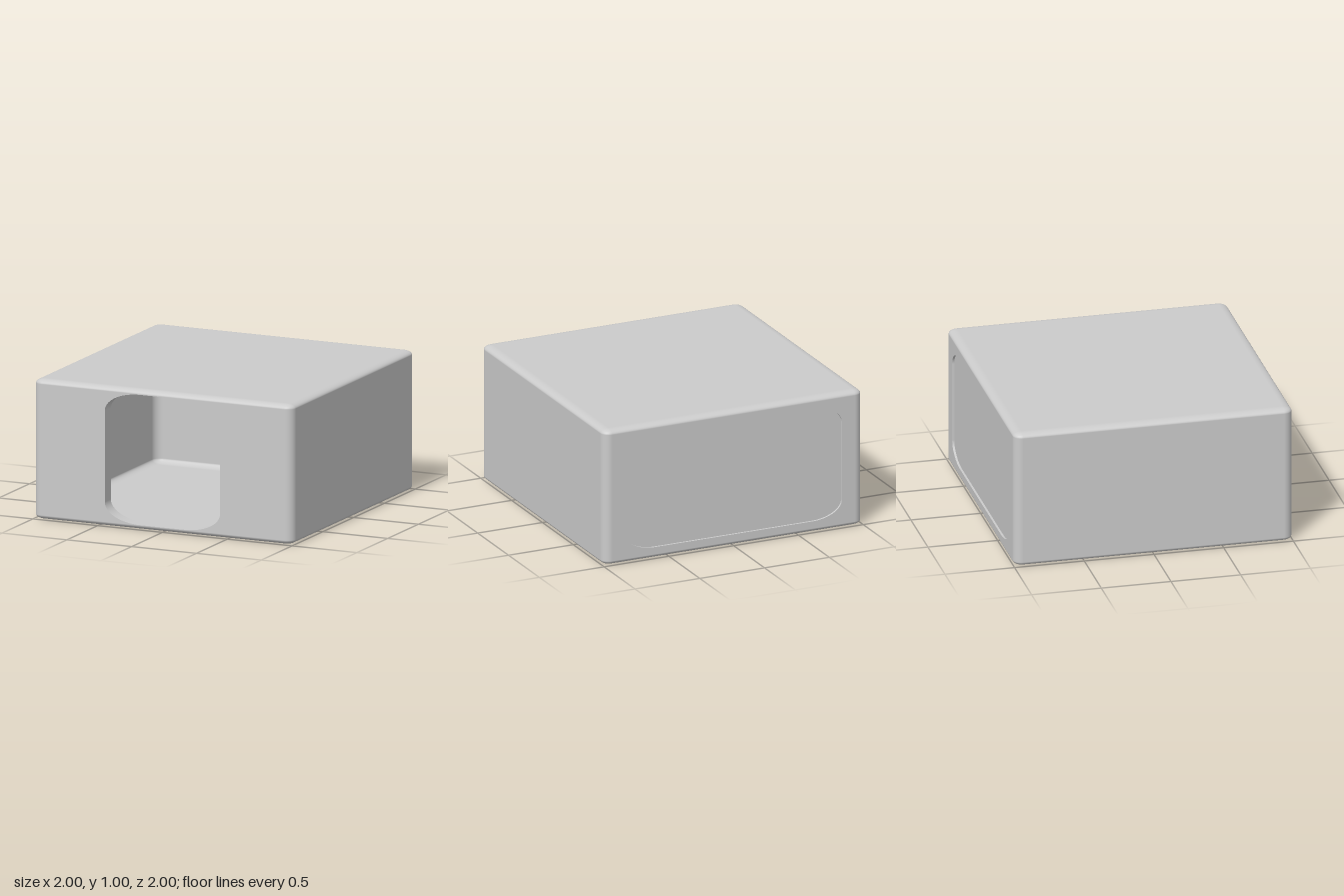
import * as THREE from 'three';
import { RoundedBoxGeometry } from 'three/addons/geometries/RoundedBoxGeometry.js';

const R = 0.065; // edge radius in plan; half of it in height

const material = new THREE.MeshStandardMaterial({ color: 0xcccccc, side: THREE.DoubleSide });

function add(parent, name, geometry) {
  const mesh = new THREE.Mesh(geometry, material);
  mesh.name = name;
  parent.add(mesh);
  return mesh;
}

// Rectangle with elliptical corners, centred at half height
function openingShape(halfW, halfH, rx, ry) {
  const s = new THREE.Shape();
  const corners = [[1, 1], [-1, 1], [-1, -1], [1, -1]];
  corners.forEach(([sx, sy], i) => {
    s.absellipse(sx * (halfW - rx), 0.5 + sy * (halfH - ry), rx, ry,
      i * Math.PI / 2, (i + 1) * Math.PI / 2, false, 0);
  });
  s.closePath();
  return s;
}

// Wall running around an outline between two depths
function rimGeometry(shape, z0, z1) {
  const pts = shape.getPoints(12);
  const pos = [], index = [];
  pts.forEach((p) => pos.push(p.x, p.y, z0, p.x, p.y, z1));
  for (let i = 0; i < pts.length - 1; i++) {
    const a = 2 * i;
    index.push(a, a + 3, a + 1, a, a + 2, a + 3);
  }
  const g = new THREE.BufferGeometry();
  g.setAttribute('position', new THREE.Float32BufferAttribute(pos, 3));
  g.setIndex(index);
  g.computeVertexNormals();
  return g;
}

// Flat wall with the opening cut out
function wallGeometry(hole) {
  const x = 1 - R, y0 = R / 2, y1 = 1 - R / 2;
  const wall = new THREE.Shape([[-x, y0], [x, y0], [x, y1], [-x, y1]].map((p) => new THREE.Vector2(...p)));
  wall.holes.push(hole);
  return new THREE.ShapeGeometry(wall, 12);
}

// Rounded box without its flat front and back faces
function shellGeometry() {
  const box = new RoundedBoxGeometry(2, 2, 2, 4, R);
  box.scale(1, 0.5, 1);
  box.translate(0, 0.5, 0);
  const p = box.attributes.position, n = box.attributes.normal;
  const pos = [], nor = [];
  for (let i = 0; i < p.count; i += 3) {
    const ids = [i, i + 1, i + 2];
    if (ids.every((k) => Math.abs(p.getZ(k)) > 0.99999)) continue;
    ids.forEach((k) => {
      pos.push(p.getX(k), p.getY(k), p.getZ(k));
      nor.push(n.getX(k), n.getY(k), n.getZ(k));
    });
  }
  const g = new THREE.BufferGeometry();
  g.setAttribute('position', new THREE.Float32BufferAttribute(pos, 3));
  g.setAttribute('normal', new THREE.Float32BufferAttribute(nor, 3));
  return g;
}

export function createModel() {
  const group = new THREE.Group();
  group.name = 'hollowBox';
  add(group, 'shell', shellGeometry());

  // Front wall with a deep-lipped opening
  const front = openingShape(0.445, 0.465, 0.27, 0.14);
  add(group, 'frontWall', wallGeometry(front)).position.z = 1;
  add(group, 'frontOpeningRim', rimGeometry(front, 1, 0.9));

  // Back wall with a slightly recessed panel
  const back = openingShape(0.835, 0.415, 0.23, 0.125);
  const backWall = add(group, 'backWall', wallGeometry(back));
  backWall.rotation.y = Math.PI;
  backWall.position.z = -1;
  add(group, 'backPanelRim', rimGeometry(back, -0.985, -1));
  const panel = add(group, 'backPanel', new THREE.ShapeGeometry(back, 12));
  panel.rotation.y = Math.PI;
  panel.position.z = -0.985;

  return group;
}
